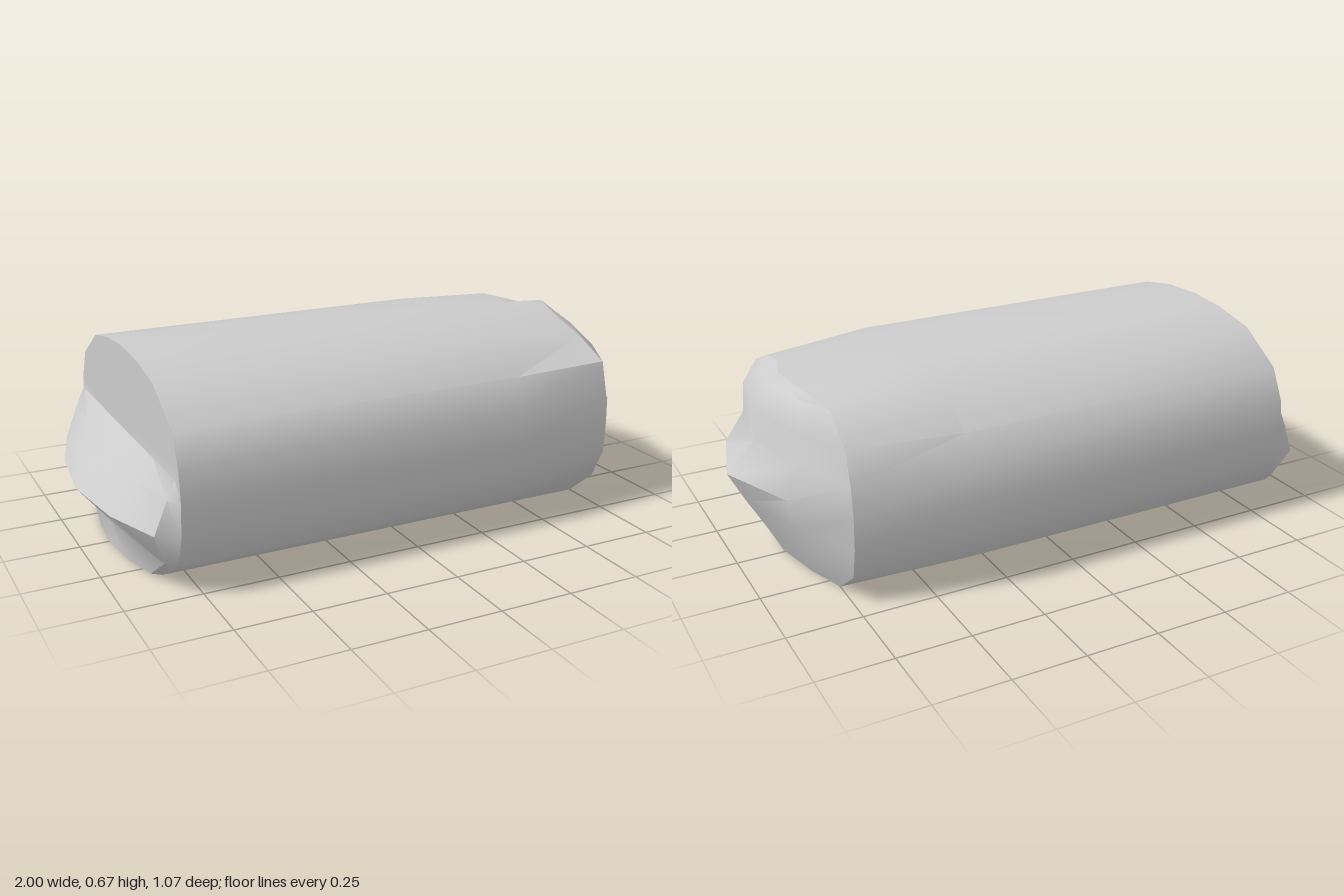
import * as THREE from 'three';
import { toCreasedNormals } from 'three/addons/utils/BufferGeometryUtils.js';

const material = new THREE.MeshStandardMaterial({ color: 0xcccccc, side: THREE.DoubleSide });

// Cross-sections as [z, y], running from the front floor edge over the top to the back floor edge
const MAIN = [[0.32, 0], [0.485, 0.1], [0.525, 0.21], [0.535, 0.32], [0.525, 0.42], [0.485, 0.53],
  [0.32, 0.63], [0.17, 0.66], [0, 0.67], [-0.15, 0.66], [-0.31, 0.63], [-0.47, 0.53],
  [-0.525, 0.42], [-0.535, 0.32], [-0.525, 0.21], [-0.48, 0.1], [-0.31, 0]];
const RIM = [[0.32, 0], [0.44, 0.1], [0.495, 0.21], [0.5, 0.32], [0.49, 0.42], [0.46, 0.53],
  [0.32, 0.59], [0.17, 0.625], [0, 0.645], [-0.15, 0.612], [-0.3, 0.615], [-0.42, 0.53],
  [-0.45, 0.42], [-0.46, 0.32], [-0.455, 0.21], [-0.43, 0.1], [-0.3, 0]];
const rimX = (i) => (i === 8 ? 0.81 : i === 7 || i === 9 ? 0.76 : 0.75);

// Skins a grid of [x, y, z] points
function skin(name, rows, flip, crease) {
  const n = rows[0].length, index = [];
  for (let j = 0; j < rows.length - 1; j++) {
    for (let i = 0; i < n - 1; i++) {
      const a = j * n + i, b = a + 1, c = b + n, d = a + n;
      if (flip) index.push(a, c, b, a, d, c);
      else index.push(a, b, c, a, c, d);
    }
  }
  const geometry = new THREE.BufferGeometry();
  geometry.setAttribute('position', new THREE.Float32BufferAttribute(rows.flat(2), 3));
  geometry.setIndex(index);
  const mesh = new THREE.Mesh(toCreasedNormals(geometry, crease), material);
  mesh.name = name;
  return mesh;
}

// One row across an end: bulges by depth along x, following profile entries [t, share]
function endRow(front, back, depth, profile) {
  return profile.map(([t, share]) => {
    const s = (1 - t) / 2;
    const p = front.map((v, k) => v + (back[k] - v) * s);
    p[0] += depth * share;
    return p;
  });
}

export function createModel() {
  const group = new THREE.Group();

  // Long rounded shell, tapering towards its right-hand end
  const sections = [
    MAIN.map(([z, y]) => [-0.82, y, z]),
    MAIN.map(([z, y]) => [0.38, y, z]),
    RIM.map(([z, y], i) => [rimX(i), y, z]),
  ];
  group.add(skin('shell', sections, true, 0.75));

  // Flat underside
  group.add(skin('underside', sections.map((s) => [s[16], s[0]]), true, 0.1));

  // Pointed end at +x
  const pointProfile = [[1, 0], [0.54, 0.72], [0, 1], [-0.56, 0.56], [-1, 0]];
  const reach = [0.835, 0.885, 0.945, 1, 0.905, 0.9, 0.845, 0.825, 0.81];
  const rim = sections[2];
  const pointRows = reach.map((x, k) => endRow(rim[k], rim[16 - k], x - rimX(k), pointProfile));
  pointRows.unshift(endRow(rim[0], rim[16], 0, pointProfile));
  group.add(skin('pointedEnd', pointRows, false, 0.8));

  // Ridged end at -x, with a flat wall above the ridge
  const ridgeProfile = [[1, 0], [0.92, 0.39], [0.52, 0.8], [0, 1], [-0.5, 0.83], [-0.97, 0.44], [-1, 0]];
  const bulge = [0.08, 0.08, 0.18, 0.075, 0, 0, 0, 0, 0];
  const start = sections[0];
  const ridgeRows = bulge.map((d, k) => endRow(start[k], start[16 - k], -d, ridgeProfile));
  ridgeRows.unshift(endRow(start[0], start[16], 0, ridgeProfile));
  ridgeRows.splice(5, 0, endRow([-0.82, 0.38, 0.53], [-0.82, 0.38, -0.53], 0, ridgeProfile));
  group.add(skin('ridgedEnd', ridgeRows, true, 0.7));

  return group;
}
